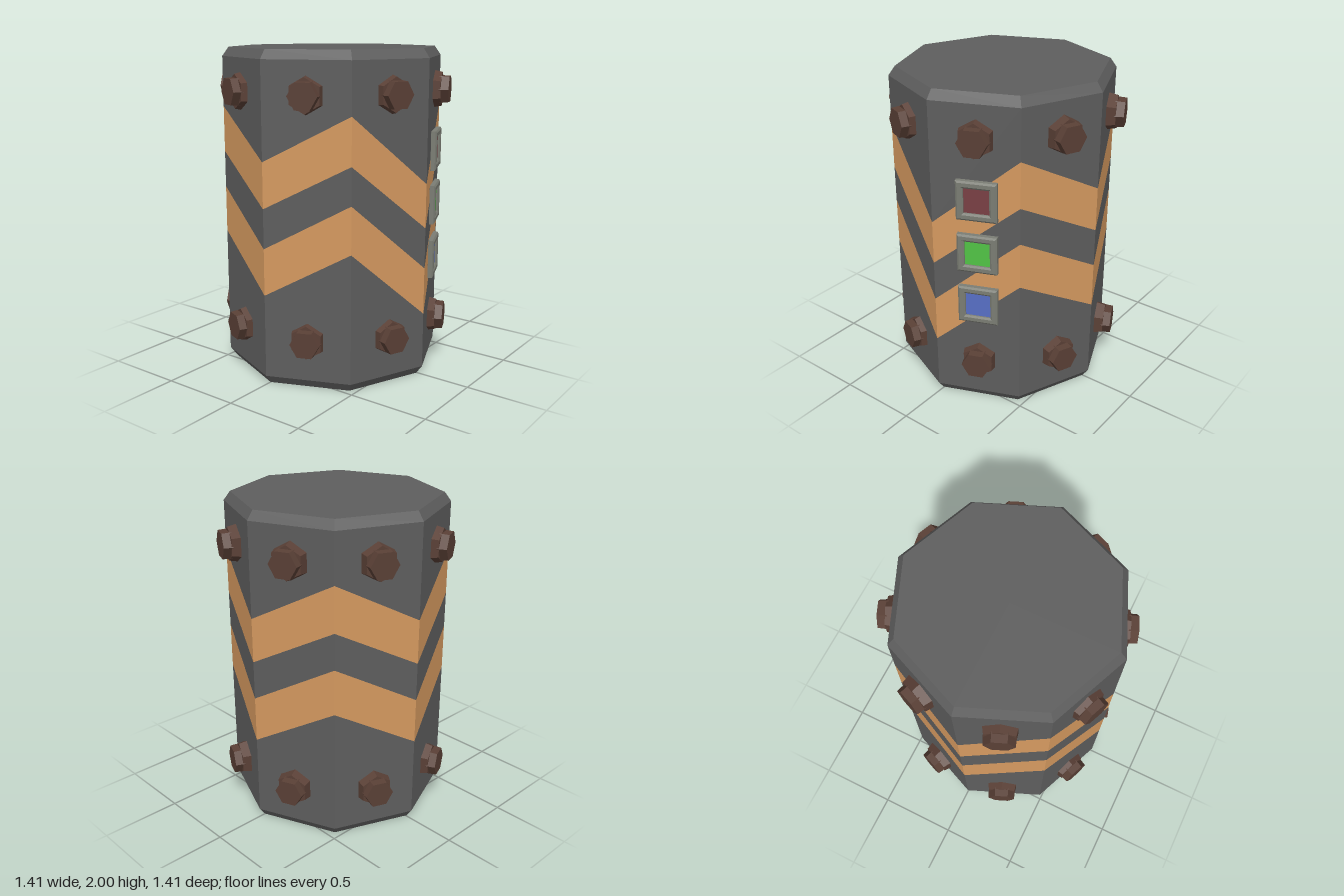
import * as THREE from 'three';

const R = 0.685, R_END = 0.645, CHAMFER = 0.055, SIDES = 8;
const APOTHEM = R * Math.cos(Math.PI / SIDES);

const mat = (color, side = THREE.FrontSide) =>
  new THREE.MeshStandardMaterial({ color, side, flatShading: true });

function add(parent, name, geometry, material, z = 0) {
  const mesh = new THREE.Mesh(geometry, material);
  mesh.name = name;
  mesh.position.z = z;
  parent.add(mesh);
  return mesh;
}

// Stripe edge heights above each corner, counted from the front corner
function levels(i) {
  const k = i % SIDES;
  if (k === 0) return [CHAMFER, 0.40, 0.69, 0.94, 1.21, 2 - CHAMFER];
  if (k % 2) return [CHAMFER, 0.85, 1.135, 1.36, 1.64, 2 - CHAMFER];
  return [CHAMFER, 0.565, 0.85, 1.09, 1.365, 2 - CHAMFER];
}

// One zigzag band of wall running round all sides
function bandGeometry(b) {
  const pos = [];
  const corner = (i, y) => {
    const a = (i / SIDES) * Math.PI * 2;
    return [R * Math.sin(a), y, R * Math.cos(a)];
  };
  for (let i = 0; i < SIDES; i++) {
    const l0 = levels(i), l1 = levels(i + 1);
    const p = corner(i, l0[b]), q = corner(i + 1, l1[b]);
    const r = corner(i + 1, l1[b + 1]), s = corner(i, l0[b + 1]);
    pos.push(...p, ...q, ...r, ...p, ...r, ...s);
  }
  const g = new THREE.BufferGeometry();
  g.setAttribute('position', new THREE.Float32BufferAttribute(pos, 3));
  g.computeVertexNormals();
  return g;
}

function square(size, ShapeType = THREE.Shape) {
  const h = size / 2;
  return new ShapeType([[-h, -h], [h, -h], [h, h], [-h, h]].map(([x, y]) => new THREE.Vector2(x, y)));
}

export function createModel() {
  const model = new THREE.Group();
  model.name = 'barrel';
  const grey = mat(0x5e5e5e), orange = mat(0xd69a60);
  const rust = mat(0x5a4036), metal = mat(0x7b7d74);

  // Body: striped wall with chamfered ends
  const body = new THREE.Group();
  body.name = 'body';
  body.position.x = -0.004;
  model.add(body);
  for (let b = 0; b < 5; b++) {
    add(body, b % 2 ? 'stripe' : 'wall', bandGeometry(b), b % 2 ? orange : grey);
  }
  const end = (pts) => new THREE.LatheGeometry(pts.map(([x, y]) => new THREE.Vector2(x, y)), SIDES);
  add(body, 'bottomEnd', end([[0, 0], [R_END, 0], [R, CHAMFER]]), grey);
  add(body, 'topEnd', end([[R, 2 - CHAMFER], [R_END, 2], [0, 2]]), grey);

  // Bolts: two on the middle of each side
  const bolts = new THREE.Group();
  bolts.name = 'bolts';
  bolts.position.set(0.006, 0, -0.004);
  model.add(bolts);
  const collarGeo = new THREE.CylinderGeometry(0.102, 0.114, 0.055, 6).rotateX(Math.PI / 2);
  const headGeo = new THREE.CylinderGeometry(0.088, 0.092, 0.06, 6).rotateX(Math.PI / 2);
  for (let i = 0; i < SIDES; i++) {
    const a = ((i + 0.5) / SIDES) * Math.PI * 2;
    for (const y of [0.305, 1.75]) {
      const bolt = new THREE.Group();
      bolt.name = 'bolt';
      bolt.position.set(APOTHEM * Math.sin(a), y, APOTHEM * Math.cos(a));
      bolt.rotation.y = a;
      add(bolt, 'boltCollar', collarGeo, rust, 0.0175);
      add(bolt, 'boltHead', headGeo, rust, 0.062).rotation.z = Math.PI / 6;
      bolts.add(bolt);
    }
  }

  // Indicator lights: bevelled square frames with recessed panes
  const frameShape = square(0.22);
  frameShape.holes.push(square(0.175, THREE.Path));
  const frameGeo = new THREE.ExtrudeGeometry(frameShape, {
    depth: 0.026, bevelEnabled: true, bevelThickness: 0.008, bevelSize: 0.011, bevelSegments: 1,
  });
  const paneGeo = new THREE.PlaneGeometry(0.17, 0.17);
  const a = Math.PI / SIDES;
  for (const [name, y, color] of [
    ['redLight', 1.383, 0x7a4045], ['greenLight', 1.048, 0x52c446], ['blueLight', 0.702, 0x586fc6],
  ]) {
    const light = new THREE.Group();
    light.name = name;
    light.position.set(APOTHEM * Math.sin(a) + 0.01, y, APOTHEM * Math.cos(a));
    light.rotation.y = a;
    add(light, 'lightFrame', frameGeo, metal, -0.005);
    add(light, 'lightPane', paneGeo, mat(color), 0.012);
    model.add(light);
  }
  return model;
}
